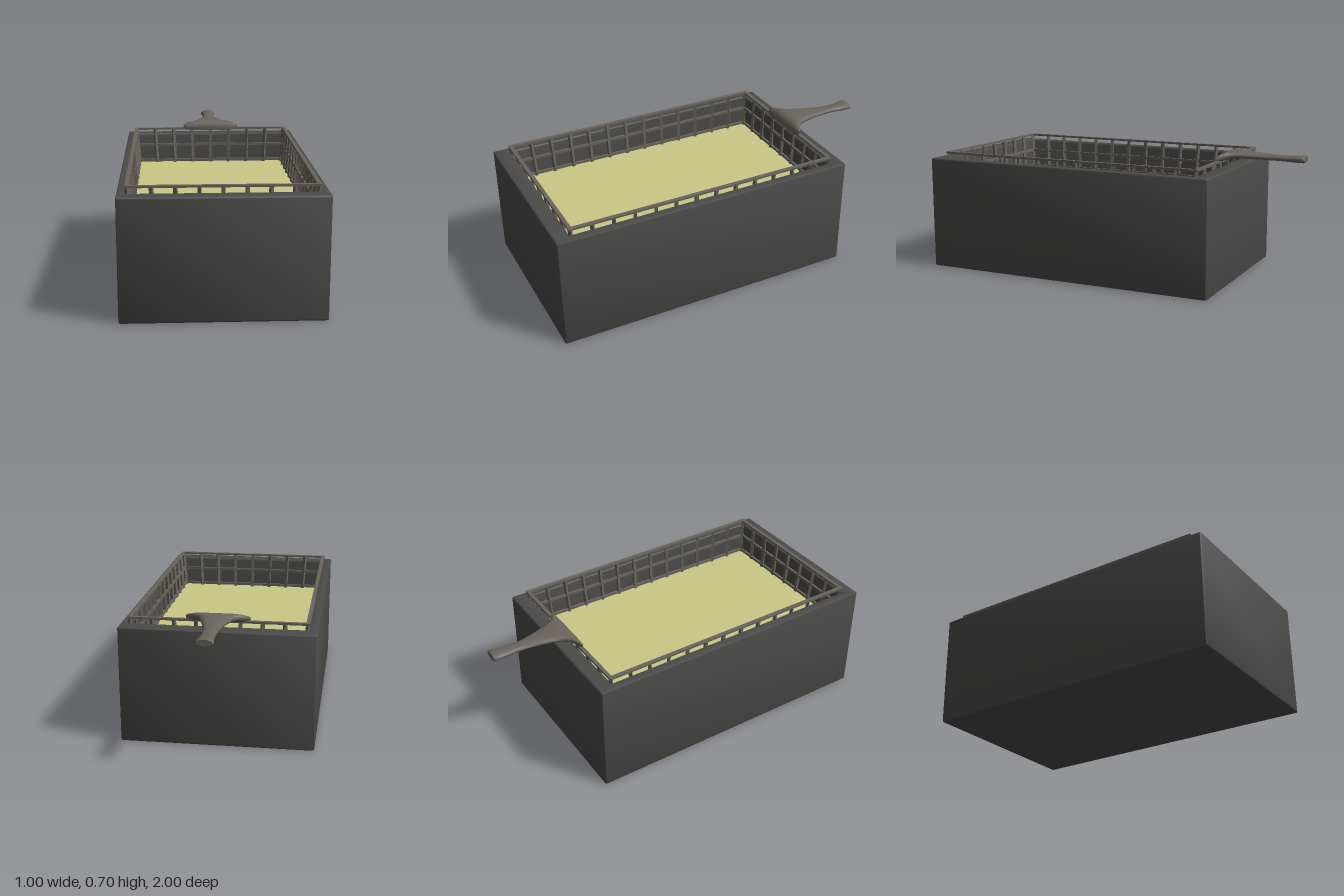
import * as THREE from 'three';
import { toCreasedNormals } from 'three/addons/utils/BufferGeometryUtils.js';

const housing = new THREE.MeshStandardMaterial({ name: 'dark housing', color: 0x4b4b4a });
const metal = new THREE.MeshStandardMaterial({ name: 'warm grey metal', color: 0x6a645d });
const oilColor = new THREE.MeshStandardMaterial({ name: 'oil yellow', color: 0xcbc886 });

const CZ = 0.175; // centre of the housing in z

function add(parent, name, geometry, material, x = 0, y = 0, z = 0) {
  const mesh = new THREE.Mesh(geometry, material);
  mesh.name = name;
  mesh.position.set(x, y, z);
  parent.add(mesh);
  return mesh;
}

// Rectangle outline with rounded corners, traced counter-clockwise
function roundedRect(path, w, d, r) {
  path.moveTo(-w + r, -d);
  path.lineTo(w - r, -d);
  path.quadraticCurveTo(w, -d, w, -d + r);
  path.lineTo(w, d - r);
  path.quadraticCurveTo(w, d, w - r, d);
  path.lineTo(-w + r, d);
  path.quadraticCurveTo(-w, d, -w, d - r);
  path.lineTo(-w, -d + r);
  path.quadraticCurveTo(-w, -d, -w + r, -d);
  return path;
}

// Open tank: softened walls, closed underneath
function makeHousing() {
  const group = new THREE.Group();
  group.name = 'housing';
  const shape = roundedRect(new THREE.Shape(), 0.502, 0.825, 0.012);
  shape.holes.push(roundedRect(new THREE.Path(), 0.454, 0.742, 0.006));
  const b = 0.008;
  const walls = new THREE.ExtrudeGeometry(shape, {
    depth: 0.617 - 2 * b, curveSegments: 4,
    bevelThickness: b, bevelSize: b, bevelOffset: -b, bevelSegments: 3,
  });
  walls.rotateX(-Math.PI / 2);
  add(group, 'tankWalls', toCreasedNormals(walls, 0.7), housing, 0, b, CZ);
  add(group, 'tankFloor', new THREE.BoxGeometry(0.93, 0.02, 1.5), housing, 0, 0.01, CZ);
  return group;
}

// Square bar between two points
function bar(parent, name, a, b, width, height) {
  const mesh = add(parent, name, new THREE.BoxGeometry(width, height, a.distanceTo(b)), metal);
  mesh.position.copy(a).lerp(b, 0.5);
  mesh.lookAt(b);
}

// Wire basket whose walls lean inwards towards the bottom
function makeBasket() {
  const group = new THREE.Group();
  group.name = 'basket';
  const top = 0.648, low = 0.42;
  const inset = (y) => (top - y) * 0.075;
  const point = (u, y, v) => new THREE.Vector3(
    u * (0.452 - inset(y)), y, CZ - 0.004 + v * (0.741 - inset(y)));

  // Horizontal hoops
  for (const y of [top, 0.55, 0.455]) {
    const rim = y === top;
    const name = rim ? 'basketRim' : 'basketHoop';
    const w = rim ? 0.02 : 0.013, h = rim ? 0.011 : 0.014;
    for (const s of [-1, 1]) {
      bar(group, name, point(-1.02, y, s), point(1.02, y, s), w, h);
      bar(group, name, point(s, y, -1.01), point(s, y, 1.01), w, h);
    }
  }
  // Upright wires
  const upright = (u, v) => bar(group, 'basketUpright', point(u, low, v), point(u, top, v), 0.017, 0.015);
  for (const s of [-1, 1]) {
    for (let i = 0; i <= 8; i++) upright(-1 + i / 4, s);
    for (let i = 1; i < 13; i++) upright(s, -1 + (2 * i) / 13);
  }
  return group;
}

// Flared handle lofted through rounded cross-sections
function makeHandle() {
  // z, half width, centre height, half height, squareness
  const sections = [
    [-0.557, 0.150, 0.652, 0.014, 0.45], [-0.566, 0.165, 0.661, 0.020, 0.45],
    [-0.580, 0.150, 0.669, 0.022, 0.55], [-0.600, 0.112, 0.674, 0.023, 0.7],
    [-0.630, 0.088, 0.677, 0.022, 0.8], [-0.680, 0.070, 0.676, 0.020, 0.85],
    [-0.740, 0.052, 0.673, 0.018, 0.9], [-0.810, 0.038, 0.670, 0.016, 0.9],
    [-0.870, 0.034, 0.668, 0.015, 0.9], [-0.930, 0.037, 0.668, 0.017, 0.9],
    [-0.965, 0.042, 0.669, 0.019, 0.9], [-0.992, 0.045, 0.670, 0.020, 0.9],
    [-1.000, 0.039, 0.670, 0.016, 0.9],
  ];
  const n = 24, pos = [], index = [];
  const bend = (t, p) => Math.sign(t) * Math.abs(t) ** p;
  for (const [z, w, y, h, p] of sections) {
    for (let j = 0; j < n; j++) {
      const a = (j / n) * Math.PI * 2;
      pos.push(w * bend(Math.cos(a), p), y + h * bend(Math.sin(a), p), z);
    }
  }
  const last = sections.length - 1;
  for (let i = 0; i < last; i++) {
    for (let j = 0; j < n; j++) {
      const a = i * n + j, b = i * n + ((j + 1) % n);
      index.push(a, a + n, b, b, a + n, b + n);
    }
  }
  // End caps
  const c = pos.length / 3;
  pos.push(0, sections[0][2], sections[0][0], 0, sections[last][2], sections[last][0]);
  for (let j = 0; j < n; j++) {
    const k = (j + 1) % n;
    index.push(c, j, k, c + 1, last * n + k, last * n + j);
  }
  const geometry = new THREE.BufferGeometry();
  geometry.setAttribute('position', new THREE.Float32BufferAttribute(pos, 3));
  geometry.setIndex(index);
  return toCreasedNormals(geometry, 0.9);
}

export function createModel() {
  const model = new THREE.Group();
  model.name = 'deepFryer';
  model.add(makeHousing());
  // Oil surface filling the tank
  add(model, 'oilSurface', new THREE.BoxGeometry(0.908, 0.008, 1.484), oilColor, 0, 0.438, CZ);
  model.add(makeBasket());
  add(model, 'basketHandle', makeHandle(), metal);
  return model;
}
